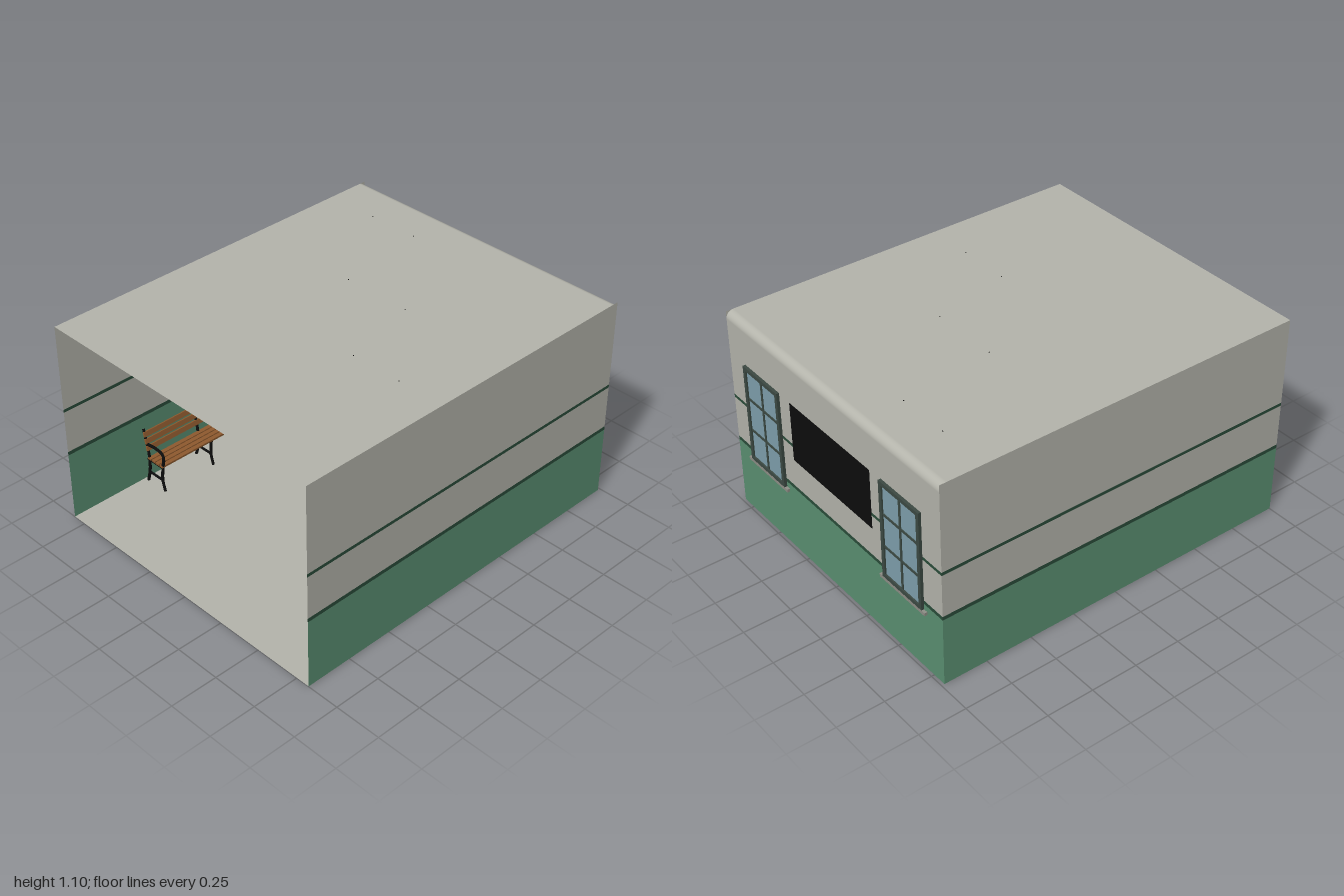
import * as THREE from 'three';

const mat = (name, color, side = THREE.FrontSide) => {
  const m = new THREE.MeshStandardMaterial({ color, side });
  m.name = name;
  return m;
};
const D = THREE.DoubleSide;
const M = {
  plaster: mat('plaster', 0xb5b5ac, D),
  green: mat('wallGreen', 0x5b9072, D),
  trim: mat('darkGreenTrim', 0x2a4d3a, D),
  glass: mat('glass', 0x7fa0ad),
  black: mat('blackIron', 0x0d0d0d),
  wood: mat('benchWood', 0x8f5a2e),
  brown: mat('redBrownWood', 0x5c3428),
  frame: mat('frameGreyGreen', 0x3c4a43),
  metal: mat('metal', 0x8f8f87),
  brass: mat('brass', 0x9a6b22),
};

const W = 0.825, H = 1.095, BACK = -0.985, FRONT = 1;

function add(parent, name, geo, material, x = 0, y = 0, z = 0) {
  const m = new THREE.Mesh(geo, material);
  m.name = name;
  m.position.set(x, y, z);
  parent.add(m);
  return m;
}
const box = (p, name, m, w, h, d, x, y, z) => add(p, name, new THREE.BoxGeometry(w, h, d), m, x, y, z);
const rod = (p, name, m, r, h, x, y, z, n = 8) => add(p, name, new THREE.CylinderGeometry(r, r, h, n), m, x, y, z);
function tube(p, name, m, r, pts) {
  const curve = new THREE.CatmullRomCurve3(pts.map(a => new THREE.Vector3(...a)));
  return add(p, name, new THREE.TubeGeometry(curve, 14, r, 6), m);
}
function group(parent, name, x = 0, y = 0, z = 0, ry = 0) {
  const g = new THREE.Group();
  g.name = name;
  g.position.set(x, y, z);
  g.rotation.y = ry;
  parent.add(g);
  return g;
}

// Room shell: floor, ceiling, three banded walls, cove above the back wall
function room(root) {
  const g = group(root, 'room');
  const depth = FRONT - BACK, midZ = (FRONT + BACK) / 2, cove = 0.04;
  const flat = (name, y, z0) => {
    const p = new THREE.PlaneGeometry(2 * W, FRONT - z0).rotateX(-Math.PI / 2);
    add(g, name, p, M.plaster, 0, y, (FRONT + z0) / 2);
  };
  flat('floor', 0, BACK);
  flat('ceiling', H, BACK + cove);
  const bands = [[0, 0.37, M.green], [0.37, 0.39, M.trim], [0.39, 0.618, M.plaster],
    [0.618, 0.635, M.trim], [0.635, H, M.plaster]];
  for (const [y0, y1, m] of bands) {
    for (const s of [-1, 1]) {
      const side = new THREE.PlaneGeometry(depth, y1 - y0).rotateY(-s * Math.PI / 2);
      add(g, 'sideWallBand', side, m, s * W, (y0 + y1) / 2, midZ);
    }
    const top = y1 === H ? H - cove : y1;
    add(g, 'backWallBand', new THREE.PlaneGeometry(2 * W, top - y0), m, 0, (y0 + top) / 2, BACK);
  }
  const arc = new THREE.CylinderGeometry(cove, cove, 2 * W, 8, 1, true, Math.PI / 2, Math.PI / 2);
  add(g, 'cove', arc.rotateZ(Math.PI / 2), M.plaster, 0, H - cove, BACK + cove);
}

// Six-pane window showing on both faces of the wall
function windowUnit(root, x) {
  const g = group(root, 'window', x, 0, BACK);
  const w = 0.29, y0 = 0.34, y1 = 0.872, h = y1 - y0, t = 0.02, yc = (y0 + y1) / 2;
  box(g, 'glass', M.glass, w - t, h - t, 0.014, 0, yc, 0);
  for (const s of [-1, 1]) {
    box(g, 'windowStile', M.frame, t, h, 0.03, s * (w - t) / 2, yc, 0);
    box(g, 'windowRail', M.frame, w, t, 0.03, 0, yc + s * (h - t) / 2, 0);
    box(g, 'glazingBar', M.frame, w, 0.013, 0.022, 0, yc + s * h / 6, 0);
  }
  box(g, 'mullion', M.frame, 0.013, h, 0.022, 0, yc, 0);
  box(g, 'sill', M.metal, 0.335, 0.016, 0.05, 0, 0.331, 0.01);
}

function blackboard(root) {
  const g = group(root, 'blackboard', 0, 0.705, BACK);
  box(g, 'board', M.black, 0.63, 0.32, 0.009, 0, 0, 0.0035);
  for (const s of [-1, 1]) {
    box(g, 'boardStile', M.frame, 0.014, 0.345, 0.018, s * 0.32, 0, 0.01);
    box(g, 'boardRail', M.frame, 0.65, 0.014, 0.018, 0, s * 0.166, 0.01);
  }
}

// Slatted bench with iron supports; its back stands towards -z
function bench(root, length, x, z, ry, supports) {
  const g = group(root, 'bench', x, 0, z, ry);
  for (let i = 0; i < supports; i++) {
    const sx = (i / (supports - 1) - 0.5) * (length - 0.02);
    tube(g, 'backLeg', M.black, 0.008, [[sx, 0, 0.022], [sx, 0.07, 0.04], [sx, 0.15, 0.043], [sx, 0.31, 0.01]]);
    tube(g, 'frontLeg', M.black, 0.008, [[sx, 0, 0.152], [sx, 0.06, 0.138], [sx, 0.145, 0.145]]);
    box(g, 'seatBearer', M.black, 0.012, 0.01, 0.115, sx, 0.14, 0.092);
    box(g, 'stretcher', M.black, 0.01, 0.008, 0.1, sx, 0.06, 0.09);
    if (i === 0 || i === supports - 1) {
      tube(g, 'armrest', M.black, 0.008, [[sx, 0.225, 0.028], [sx, 0.232, 0.09],
        [sx, 0.222, 0.148], [sx, 0.195, 0.156], [sx, 0.145, 0.145]]);
    }
  }
  for (let i = 0; i < 4; i++) box(g, 'seatSlat', M.wood, length, 0.01, 0.023, 0, 0.15, 0.055 + i * 0.029);
  for (const y of [0.205, 0.243, 0.281]) {
    const slat = box(g, 'backSlat', M.wood, length, 0.027, 0.009, 0, y, 0.045 - (y - 0.17) * 0.2);
    slat.rotation.x = -0.2;
  }
}

function radiator(root, x) {
  const g = group(root, 'radiator', x, 0, -0.955);
  for (let i = 0; i < 8; i++) {
    const cx = (i - 3.5) * 0.031;
    add(g, 'radiatorColumn', new THREE.CapsuleGeometry(0.012, 0.14, 3, 8), M.frame, cx, 0.153, 0);
  }
  for (const y of [0.085, 0.22]) rod(g, 'header', M.frame, 0.008, 0.24, 0, y, 0).rotation.z = Math.PI / 2;
  for (const s of [-1, 1]) rod(g, 'radiatorFoot', M.frame, 0.006, 0.08, s * 0.09, 0.04, 0);
  tube(g, 'supplyPipe', M.frame, 0.006, [[0.11, 0.08, 0], [0.128, 0.076, 0], [0.135, 0.06, 0], [0.135, 0, 0]]);
}

// Table with turned legs
function table(root) {
  const g = group(root, 'table', -0.005, 0, -0.19);
  box(g, 'tableTop', M.brown, 0.6, 0.016, 0.44, 0, 0.26, 0);
  for (const s of [-1, 1]) {
    box(g, 'apron', M.brown, 0.53, 0.03, 0.012, 0, 0.238, s * 0.19);
    box(g, 'endApron', M.brown, 0.012, 0.03, 0.38, s * 0.268, 0.238, 0);
  }
  const leg = new THREE.LatheGeometry([[0, 0], [0.008, 0], [0.011, 0.02], [0.009, 0.035], [0.014, 0.15],
    [0.01, 0.175], [0.015, 0.185], [0.015, 0.253]].map(p => new THREE.Vector2(...p)), 12);
  for (const sx of [-1, 1]) for (const sz of [-1, 1]) add(g, 'tableLeg', leg, M.brown, sx * 0.268, 0, sz * 0.19);
}

function suitcase(root) {
  const g = group(root, 'suitcase', -0.232, 0, -0.83);
  box(g, 'caseBody', M.brown, 0.185, 0.122, 0.06, 0, 0.069, 0);
  box(g, 'caseSeam', M.black, 0.188, 0.006, 0.064, 0, 0.095, 0);
  for (const s of [-1, 1]) {
    box(g, 'strap', M.black, 0.008, 0.126, 0.064, s * 0.06, 0.069, 0);
    for (const z of [-0.022, 0.022]) box(g, 'caseFoot', M.black, 0.012, 0.01, 0.01, s * 0.07, 0.005, z);
  }
  tube(g, 'handle', M.black, 0.004, [[-0.025, 0.128, 0], [-0.018, 0.144, 0], [0.018, 0.144, 0], [0.025, 0.128, 0]]);
}

// Water urn on a cabinet
function urn(root) {
  const g = group(root, 'urnOnStand', 0.723, 0, -0.085);
  box(g, 'stand', M.frame, 0.13, 0.262, 0.16, 0, 0.131, 0);
  box(g, 'standTop', M.frame, 0.142, 0.01, 0.17, 0, 0.263, 0);
  const body = [[0, 0.268], [0.064, 0.268], [0.067, 0.275], [0.067, 0.465], [0.072, 0.468], [0.072, 0.478],
    [0.066, 0.482], [0.05, 0.493], [0.02, 0.5], [0.008, 0.501], [0.014, 0.507], [0.012, 0.513], [0, 0.515]];
  add(g, 'urn', new THREE.LatheGeometry(body.map(p => new THREE.Vector2(...p)), 28), M.metal);
  rod(g, 'tapPipe', M.brass, 0.005, 0.035, -0.08, 0.3, 0).rotation.z = Math.PI / 2;
  rod(g, 'tapSpout', M.brass, 0.005, 0.02, -0.095, 0.293, 0);
  box(g, 'tapLever', M.brass, 0.022, 0.004, 0.006, -0.09, 0.314, 0);
}

// Hanging strip lamp
function lamp(root, length, x, y, z, gap) {
  const g = group(root, 'hangingLamp', x, y, z);
  box(g, 'lampTray', M.metal, length, 0.009, 0.03, 0, 0.005, 0);
  rod(g, 'lampTube', M.plaster, 0.006, length - 0.03, 0, -0.006, 0).rotation.z = Math.PI / 2;
  for (const s of [-1, 1]) {
    box(g, 'lampHolder', M.metal, 0.01, 0.018, 0.016, s * (length / 2 - 0.01), -0.004, 0);
    const h = H + 0.001 - y;
    rod(g, 'lampRod', M.black, 0.003, h, s * gap / 2, h / 2, 0, 6);
  }
}

export function createModel() {
  const root = new THREE.Group();
  root.name = 'waitingRoom';
  room(root);
  blackboard(root);
  for (const s of [-1, 1]) {
    windowUnit(root, s * 0.545);
    radiator(root, s * 0.545);
    bench(root, 0.5, s * 0.55, -0.95, 0, 2);
  }
  // Benches along the side walls
  bench(root, 0.65, -W, 0.24, Math.PI / 2, 3);
  bench(root, 0.6, -W, -0.48, Math.PI / 2, 3);
  bench(root, 0.56, W, 0.34, -Math.PI / 2, 3);
  bench(root, 0.5, W, -0.52, -Math.PI / 2, 3);
  table(root);
  suitcase(root);
  urn(root);
  lamp(root, 0.415, -0.398, 0.955, -0.755, 0.28);
  lamp(root, 0.55, -0.003, 0.855, -0.24, 0.37);
  lamp(root, 0.415, 0.428, 0.955, 0.2, 0.28);
  return root;
}
